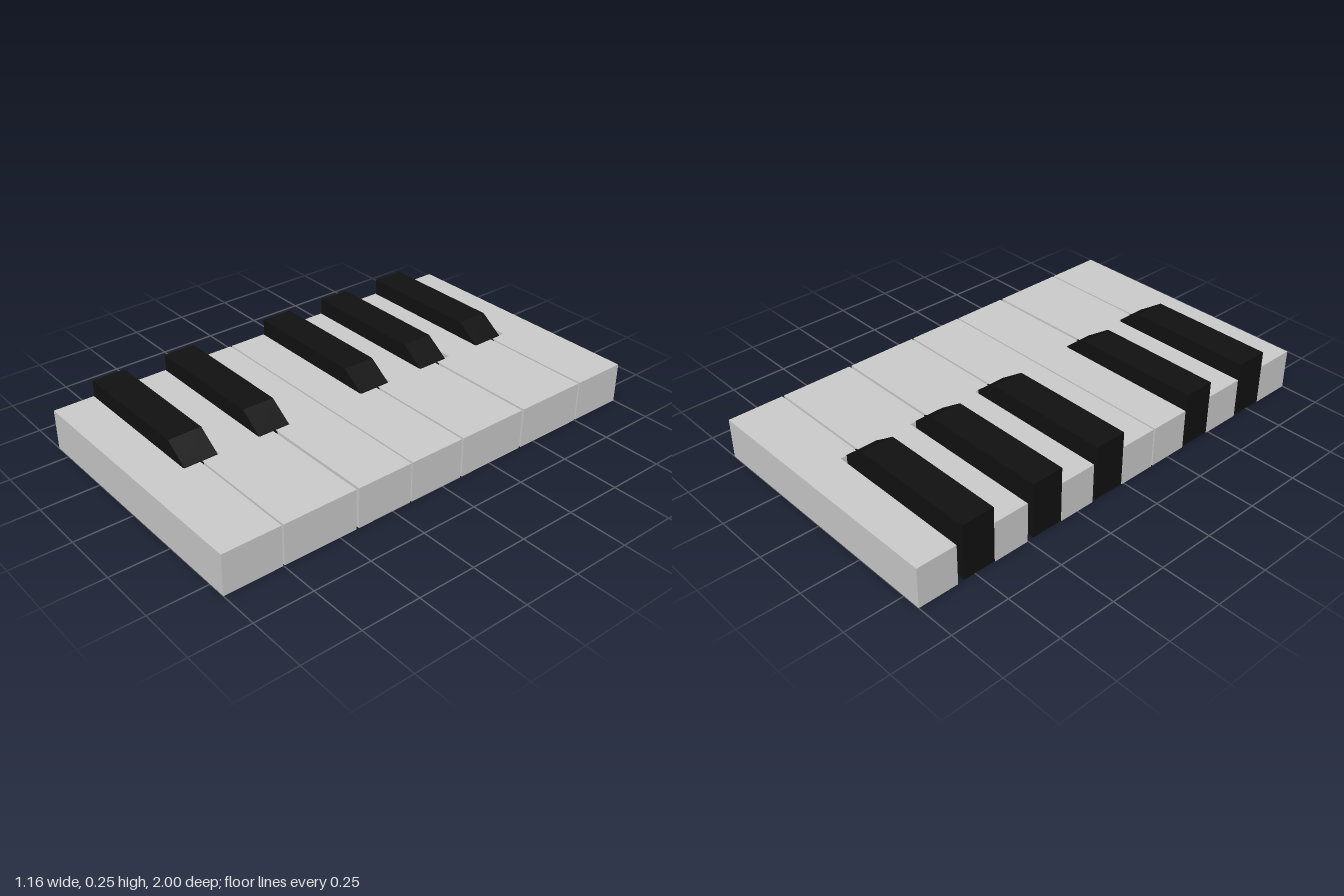
import * as THREE from 'three';

const BACK = -0.58, FRONT = 0.58, NOTCH = 0.08, HEIGHT = 0.175;

// Each white key's z range
const whites = [
  [-1, -0.757], [-0.748, -0.429], [-0.418, -0.101], [-0.092, 0.157],
  [0.164, 0.412], [0.424, 0.745], [0.753, 1],
];
// Each black key: start, end, and where the clearance slot around it begins
const blacks = [
  [-0.802, -0.66, -0.828], [-0.476, -0.335, -0.502], [-0.157, -0.014, -0.17],
  [0.347, 0.487, 0.342], [0.676, 0.821, 0.668],
];

const whiteMaterial = new THREE.MeshStandardMaterial({ color: 0xcccccc });
const blackMaterial = new THREE.MeshStandardMaterial({ color: 0x111111 });

function extrude(points, depth) {
  const shape = new THREE.Shape(points.map(([x, y]) => new THREE.Vector2(x, y)));
  return new THREE.ExtrudeGeometry(shape, { depth, bevelEnabled: false });
}

// White key: wide at the front, its tail cut back beside neighbouring black keys
function whiteKey([z0, z1]) {
  let tail0 = z0, tail1 = z1;
  for (const [, end, slot] of blacks) {
    if (slot < z0 && end > z0) tail0 = end + 0.003;
    if (slot < z1 && end > z1) tail1 = slot;
  }
  const outline = [[BACK, tail0], [NOTCH, tail0]];
  if (tail0 !== z0) outline.push([NOTCH, z0]);
  outline.push([FRONT, z0], [FRONT, z1]);
  if (tail1 !== z1) outline.push([NOTCH, z1]);
  outline.push([NOTCH, tail1], [BACK, tail1]);
  const geometry = extrude(outline.map(([x, z]) => [x, -z]), HEIGHT);
  geometry.rotateX(-Math.PI / 2);
  return new THREE.Mesh(geometry, whiteMaterial);
}

// Black key: side profile with a sloping nose and a short buried ledge
function blackKey([z0, z1]) {
  const profile = [
    [BACK, 0.004], [0.095, 0.004], [0.095, 0.172], [0.08, 0.176],
    [-0.02, 0.245], [BACK, 0.245],
  ];
  const mesh = new THREE.Mesh(extrude(profile, z1 - z0), blackMaterial);
  mesh.position.z = z0;
  return mesh;
}

export function createModel() {
  const model = new THREE.Group();
  model.name = 'pianoOctave';
  whites.forEach((range, i) => {
    const key = whiteKey(range);
    key.name = `whiteKey${i + 1}`;
    model.add(key);
  });
  blacks.forEach((range, i) => {
    const key = blackKey(range);
    key.name = `blackKey${i + 1}`;
    model.add(key);
  });
  return model;
}
